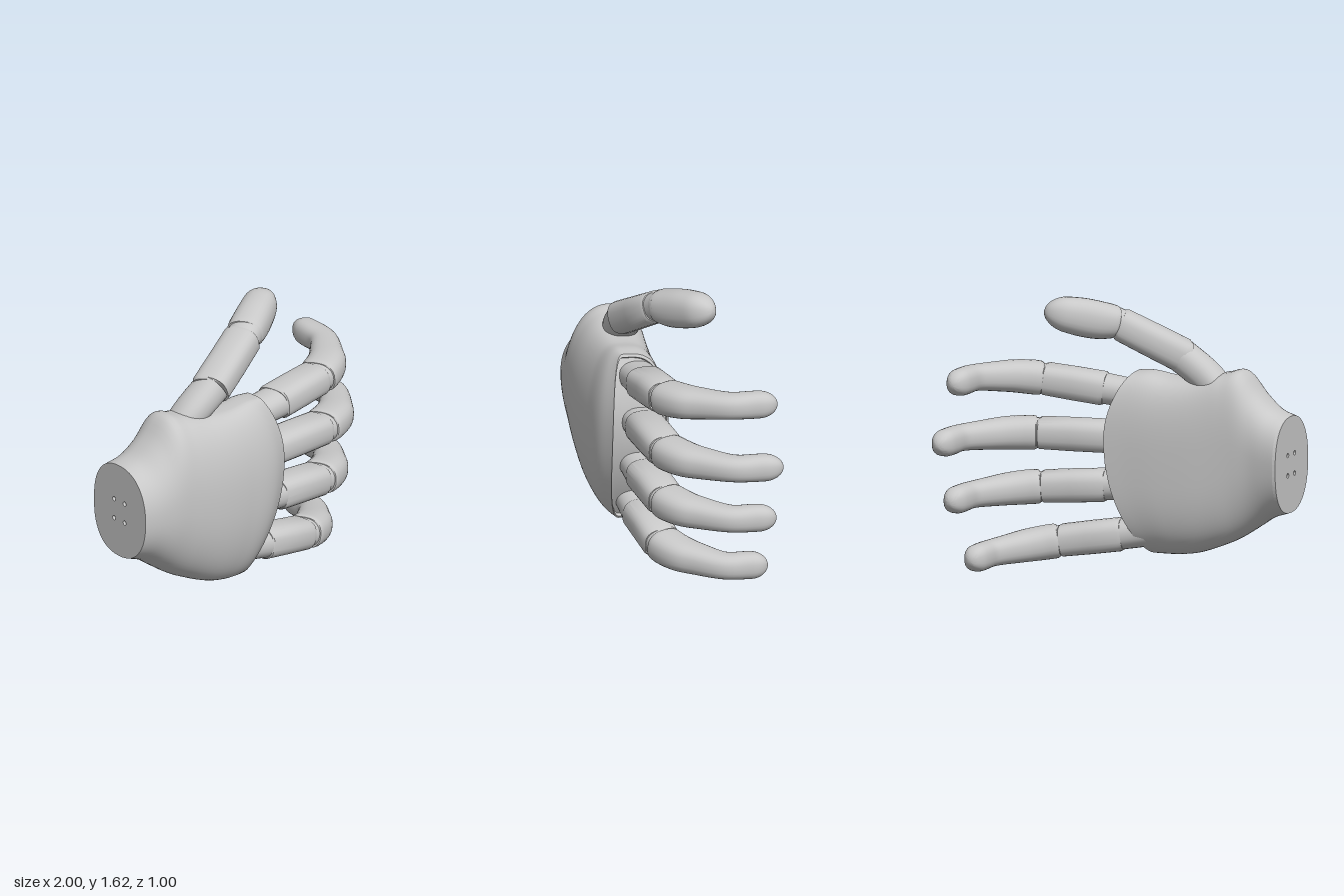
import * as THREE from 'three';
import { toCreasedNormals } from 'three/addons/utils/BufferGeometryUtils.js';

const grey = new THREE.MeshStandardMaterial({ color: 0xc8c8c8, side: THREE.DoubleSide });
grey.name = 'light grey plastic';

// Skin a list of closed rings (arrays of Vector3) into one surface.
function skin(name, rings, crease = 0.6) {
  const n = rings[0].length, pos = [], idx = [];
  rings.forEach(r => r.forEach(p => pos.push(p.x, p.y, p.z)));
  for (let i = 0; i < rings.length - 1; i++) {
    for (let j = 0; j < n; j++) {
      const a = i * n + j, b = i * n + (j + 1) % n;
      idx.push(a, b, a + n, b, b + n, a + n);
    }
  }
  const g = new THREE.BufferGeometry();
  g.setAttribute('position', new THREE.Float32BufferAttribute(pos, 3));
  g.setIndex(idx);
  const mesh = new THREE.Mesh(toCreasedNormals(g, crease), grey);
  mesh.name = name;
  return mesh;
}

// Smooth interpolation through rows of numbers; the first column is the key.
function rows(table) {
  const size = table[0].length;
  const it = new THREE.CubicInterpolant(table.map(r => r[0]), table.flat(), size, new Array(size));
  return k => [...it.evaluate(k)];
}

const sp = (v, e) => Math.sign(v) * Math.abs(v) ** e;

// Sweep a rounded section along points [x, y, z, halfWidth, halfThickness].
function limb(name, pts, { n = 2.3, steps = 1, round = 0 } = {}) {
  const last = pts.length - 1, total = last * steps, segs = 28;
  const f = rows(pts.map((p, i) => [i, ...p]));
  const at = k => f(Math.min(last, Math.max(0, k)));
  const ring = (k, s) => {
    const [, x, y, z, w, t] = at(k), a = at(k - 0.1), b = at(k + 0.1);
    const T = new THREE.Vector3(b[1] - a[1], b[2] - a[2], b[3] - a[3]).normalize();
    const U = new THREE.Vector3(0, 1, 0).addScaledVector(T, -T.y).normalize();
    const S = new THREE.Vector3().crossVectors(T, U);
    return Array.from({ length: segs }, (_, j) => {
      const q = j / segs * Math.PI * 2;
      return new THREE.Vector3(x, y, z)
        .addScaledVector(U, s * w * sp(Math.cos(q), 2 / n))
        .addScaledVector(S, s * t * sp(Math.sin(q), 2 / n));
    });
  };
  const rings = [ring(0, 0)];
  for (let i = 0; i <= total; i++) rings.push(ring(i / steps, 1));
  if (round) {
    // dome over the final stretch
    rings.length = 1 + Math.round((last - round) * steps) + 1;
    for (let i = 1; i <= 10; i++) {
      const a = i / 10 * Math.PI / 2;
      rings.push(ring(last - round + round * Math.sin(a), Math.cos(a)));
    }
  } else rings.push(ring(last, 0));
  return skin(name, rings);
}

// Palm sections: x, low y, high y, back z, widest z, front z
const palmAt = rows([
  [-1.0, 0.38, 0.95, -0.02, 0.22, 0.47],
  [-0.9, 0.345, 0.99, 0.005, 0.22, 0.485],
  [-0.8, 0.28, 1.08, 0.025, 0.23, 0.495],
  [-0.7, 0.215, 1.195, 0.03, 0.24, 0.5],
  [-0.6, 0.165, 1.18, 0.03, 0.25, 0.5],
  [-0.4, 0.105, 1.14, 0.025, 0.27, 0.49],
  [-0.2, 0.08, 1.13, 0.025, 0.28, 0.465],
  [0.0, 0.075, 1.15, 0.03, 0.28, 0.425],
  [0.11, 0.075, 1.145, 0.03, 0.28, 0.36],
]);

function palmRing(x, s = 1, inset = 0, segs = 72) {
  const [, lo, hi, zb, zm, zf] = palmAt(x);
  const cy = (lo + hi) / 2, hy = (hi - lo) / 2;
  const bend = Math.max(0, (x + 0.6) / 0.71) ** 1.3;
  const box = THREE.MathUtils.smoothstep(x, -0.9, -0.55);
  return Array.from({ length: segs }, (_, j) => {
    const q = j / segs * Math.PI * 2, c = Math.cos(q), d = Math.sin(q);
    // domed front, boxier back, squarest on the thumb side
    const e = d > 0 ? 0.9 : 0.83 - box * (0.18 + 0.08 * c);
    const y = cy + s * hy * sp(c, e);
    const z = zm + s * (d > 0 ? zf - zm : zm - zb) * sp(d, e);
    // the knuckle edge is an arc
    const arc = (y < 0.76 ? 0.53 : 0.85) * (y - 0.76) ** 2;
    return new THREE.Vector3(x - inset - bend * arc, y, z);
  });
}

function buildPalm() {
  const g = new THREE.Group();
  g.name = 'palm';
  const rings = [];
  for (let i = 0; i <= 44; i++) rings.push(palmRing(-1 + 1.11 * i / 44));
  // thin rim around a slightly sunken knuckle wall
  rings.push(palmRing(0.11, 0.97), palmRing(0.11, 0.95, 0.025));
  for (const s of [0.75, 0.5, 0.25, 0]) rings.push(palmRing(0.11, s, 0.025));
  g.add(skin('palmShell', rings, 0.7));

  // wrist plate with four screw holes
  const shape = new THREE.Shape(palmRing(-1).map(p => new THREE.Vector2(p.z, p.y)));
  for (const a of [-1, 1]) for (const b of [-1, 1]) {
    const hole = new THREE.Path();
    hole.absarc(0.22 + a * 0.05, 0.665 + b * 0.06, 0.014, 0, Math.PI * 2, true);
    shape.holes.push(hole);
  }
  const plate = new THREE.Mesh(
    new THREE.ExtrudeGeometry(shape, { depth: 0.02, bevelEnabled: false, curveSegments: 10 })
      .rotateY(-Math.PI / 2).translate(-0.98, 0, 0), grey);
  plate.name = 'wristPlate';
  g.add(plate);
  return g;
}

// Finger: x of the first joint, length, base y, y slope, tip depth
function buildFinger(name, x0, len, y0, slope, tipZ) {
  const g = new THREE.Group();
  g.name = name;
  const P = (u, z, w, t) =>
    [x0 + u * len, y0 + slope * u * len, z < 0 ? z * tipZ / 0.5 : z, w, t];
  g.add(limb('knuckle', [P(-0.26, 0.2, 0.084, 0.11), P(0.03, 0.185, 0.089, 0.112)]));
  g.add(limb('lowerSegment', [
    P(0, 0.185, 0.09, 0.112), P(0.02, 0.182, 0.096, 0.117),
    P(0.25, 0.155, 0.096, 0.115), P(0.47, 0.13, 0.093, 0.113), P(0.49, 0.127, 0.086, 0.105),
  ], { n: 2.8 }));
  g.add(limb('hinge', [P(0.46, 0.13, 0.086, 0.105), P(0.56, 0.11, 0.088, 0.105)]));
  g.add(limb('upperSegment', [
    P(0.505, 0.125, 0.09, 0.108), P(0.53, 0.115, 0.098, 0.118), P(0.62, 0.075, 0.097, 0.118),
    P(0.70, 0.025, 0.093, 0.114), P(0.77, -0.045, 0.087, 0.102), P(0.87, -0.16, 0.078, 0.088),
    P(0.912, -0.245, 0.076, 0.081), P(0.918, -0.36, 0.079, 0.074), P(0.93, -0.5, 0.074, 0.067),
  ], { n: 2.5, steps: 4, round: 0.75 }));
  return g;
}

function buildThumb() {
  const g = new THREE.Group();
  g.name = 'thumb';
  g.add(limb('thumbBase', [
    [-0.55, 1.08, 0.205, 0.085, 0.1], [-0.45, 1.165, 0.21, 0.094, 0.106], [-0.3, 1.27, 0.205, 0.097, 0.106],
  ], { steps: 3 }));
  g.add(limb('thumbLowerSegment', [
    [-0.335, 1.252, 0.22, 0.094, 0.105], [-0.32, 1.26, 0.212, 0.1, 0.113],
    [-0.15, 1.352, 0.147, 0.098, 0.113], [0.01, 1.44, 0.083, 0.095, 0.112], [0.025, 1.448, 0.077, 0.086, 0.102],
  ], { n: 2.7 }));
  g.add(limb('thumbHinge', [[0, 1.437, 0.085, 0.086, 0.1], [0.09, 1.478, 0.045, 0.089, 0.1]]));
  g.add(limb('thumbTip', [
    [0.04, 1.458, 0.066, 0.088, 0.1], [0.06, 1.463, 0.052, 0.098, 0.109], [0.13, 1.474, 0.005, 0.11, 0.11],
    [0.21, 1.494, -0.05, 0.112, 0.107], [0.3, 1.518, -0.115, 0.102, 0.1], [0.39, 1.54, -0.18, 0.092, 0.087],
  ], { n: 2.4, steps: 4, round: 1.2 }));
  return g;
}

export function createModel() {
  const hand = new THREE.Group();
  hand.name = 'hand';
  hand.add(
    buildPalm(),
    buildThumb(),
    buildFinger('indexFinger', 0.16, 0.74, 1.035, 0.122, 0.48),
    buildFinger('middleFinger', 0.13, 0.865, 0.756, 0, 0.5),
    buildFinger('ringFinger', 0.155, 0.77, 0.465, -0.065, 0.47),
    buildFinger('littleFinger', 0.05, 0.755, 0.182, -0.148, 0.44),
  );
  return hand;
}
